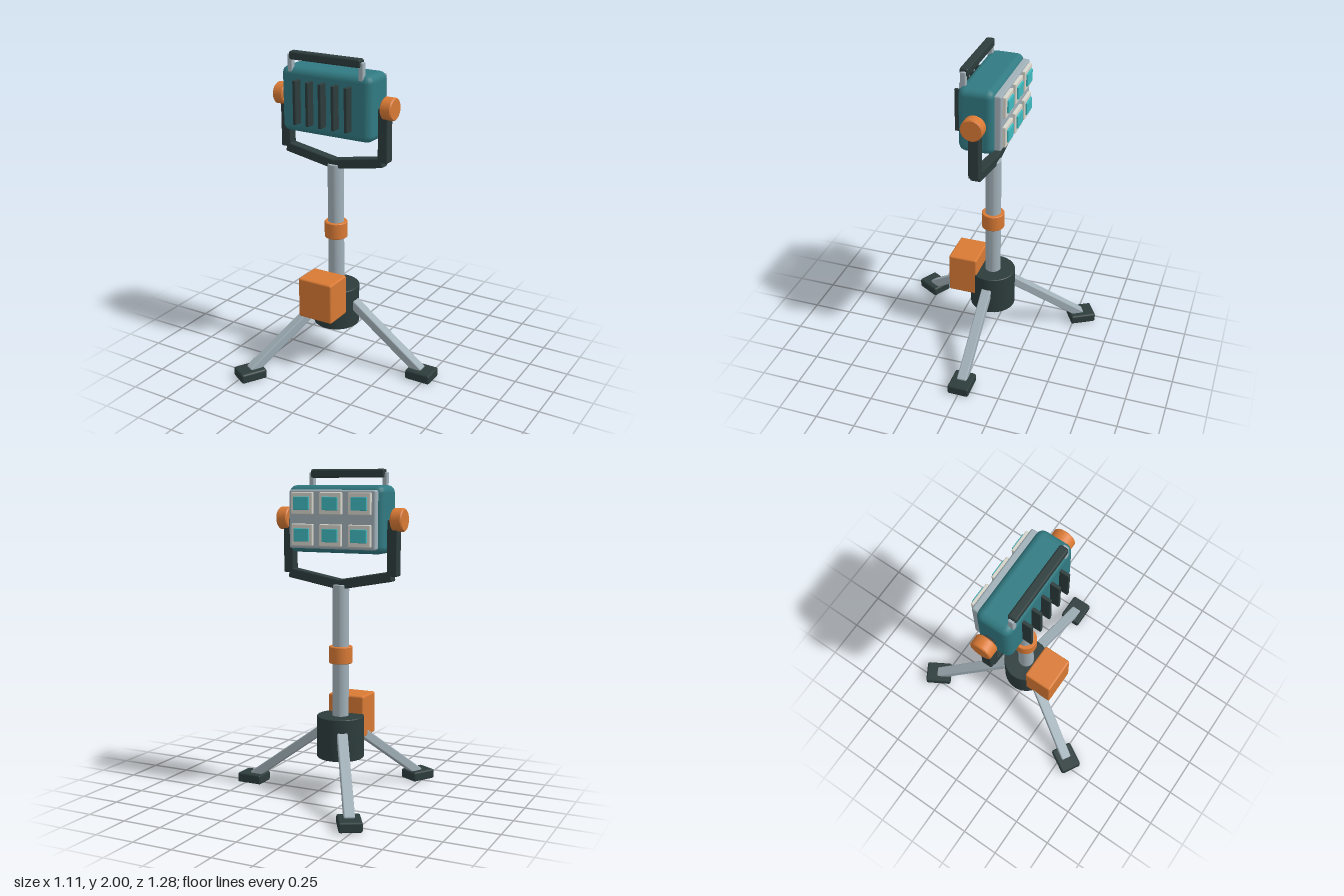
import * as THREE from 'three';
import { RoundedBoxGeometry } from 'three/addons/geometries/RoundedBoxGeometry.js';
import { toCreasedNormals } from 'three/addons/utils/BufferGeometryUtils.js';

const material = (name, color) => {
  const m = new THREE.MeshStandardMaterial({ color });
  m.name = name;
  return m;
};

export function createModel() {
  const teal = material('teal paint', 0x317a82);
  const dark = material('dark rubber', 0x2d3c3c);
  const orange = material('orange plastic', 0xd97a35);
  const steel = material('steel', 0xa1b0b8);
  const cream = material('pale bezel', 0xd6d5cb);
  const glass = material('lens glass', 0x3fbac0);

  const model = new THREE.Group();
  model.name = 'workLight';
  // Everything is built around the pole axis, which sits off centre
  const stand = new THREE.Group();
  stand.name = 'stand';
  stand.position.x = -0.15;
  model.add(stand);

  const add = (parent, name, geometry, mat, x = 0, y = 0, z = 0) => {
    const mesh = new THREE.Mesh(geometry, mat);
    mesh.name = name;
    mesh.position.set(x, y, z);
    parent.add(mesh);
    return mesh;
  };
  // Box with bevelled edges
  const box = (parent, name, mat, [w, h, d], [x, y, z], bevel = 0.008, steps = 1) =>
    add(parent, name, new RoundedBoxGeometry(w, h, d, steps, bevel), mat, x, y, z);
  // Bevelled bar between two points in the local xy plane
  const bar = (parent, name, mat, [x1, y1], [x2, y2], thick, depth) => {
    const length = Math.hypot(x2 - x1, y2 - y1);
    const mesh = box(parent, name, mat, [length, thick, depth], [(x1 + x2) / 2, (y1 + y2) / 2, 0]);
    mesh.rotation.z = Math.atan2(y2 - y1, x2 - x1);
    return mesh;
  };
  // Upright cylinder with a small chamfer at both rims
  const drum = (parent, name, mat, r, y0, y1, c = 0.004) => {
    const h = (y1 - y0) / 2;
    const profile = [[0, -h], [r - c, -h], [r, -h + c], [r, h - c], [r - c, h], [0, h]]
      .map(([x, y]) => new THREE.Vector2(x, y));
    return add(parent, name, toCreasedNormals(new THREE.LatheGeometry(profile, 32), 0.5), mat, 0, (y0 + y1) / 2, 0);
  };

  // Pole, collar, hub and battery
  drum(stand, 'hub', dark, 0.145, 0.245, 0.505);
  drum(stand, 'pole', steel, 0.05, 0.4, 1.313);
  drum(stand, 'collar', orange, 0.072, 0.832, 0.936);
  box(stand, 'batteryBox', orange, [0.238, 0.262, 0.188], [0, 0.485, 0.168], 0.012, 2);

  // Three legs with feet
  for (let i = 0; i < 3; i++) {
    const leg = new THREE.Group();
    leg.name = 'leg' + (i + 1);
    leg.rotation.y = (i * Math.PI * 2) / 3;
    bar(leg, 'legBar', steel, [0.09, 0.428], [0.615, 0.045], 0.056, 0.064);
    box(leg, 'foot', dark, [0.168, 0.062, 0.137], [0.62, 0.031, 0], 0.012);
    stand.add(leg);
  }

  // Yoke and tilt knobs, mirrored
  for (const s of [-1, 1]) {
    const side = s > 0 ? 'left' : 'right';
    bar(stand, side + 'YokeBar', dark, [s * -0.008, 1.312], [s * 0.338, 1.375], 0.06, 0.066);
    box(stand, side + 'YokeArm', dark, [0.066, 0.33, 0.066], [s * 0.341, 1.54, 0]);
    const knob = drum(stand, side + 'Knob', orange, 0.068, -0.036, 0.036, 0.007);
    knob.position.set(s * 0.373, 1.705, 0);
    knob.rotation.z = Math.PI / 2;
  }

  // Lamp housing
  const head = new THREE.Group();
  head.name = 'lampHead';
  stand.add(head);
  box(head, 'housing', teal, [0.62, 0.4, 0.22], [0, 1.705, 0.01], 0.045, 2);

  // Cooling fins
  for (let i = -2; i <= 2; i++)
    box(head, 'coolingFin', dark, [0.02, 0.266, 0.08], [i * 0.088, 1.705, 0.138], 0.003);

  // Carrying handle
  box(head, 'handleGrip', dark, [0.487, 0.052, 0.054], [0, 1.974, 0.098], 0.012);
  for (const s of [-1, 1])
    box(head, 'handlePost', steel, [0.032, 0.112, 0.034], [s * 0.242, 1.926, 0.1], 0.006);

  // Lamp panel with two rows of three lenses
  box(head, 'lampPanel', steel, [0.562, 0.346, 0.05], [0, 1.705, -0.112], 0.012);
  for (const y of [1.613, 1.799])
    for (let i = -1; i <= 1; i++) {
      box(head, 'lensBezel', cream, [0.142, 0.13, 0.03], [i * 0.186, y, -0.142], 0.006);
      box(head, 'lens', glass, [0.102, 0.078, 0.02], [i * 0.186, y, -0.158], 0.004);
    }

  return model;
}
